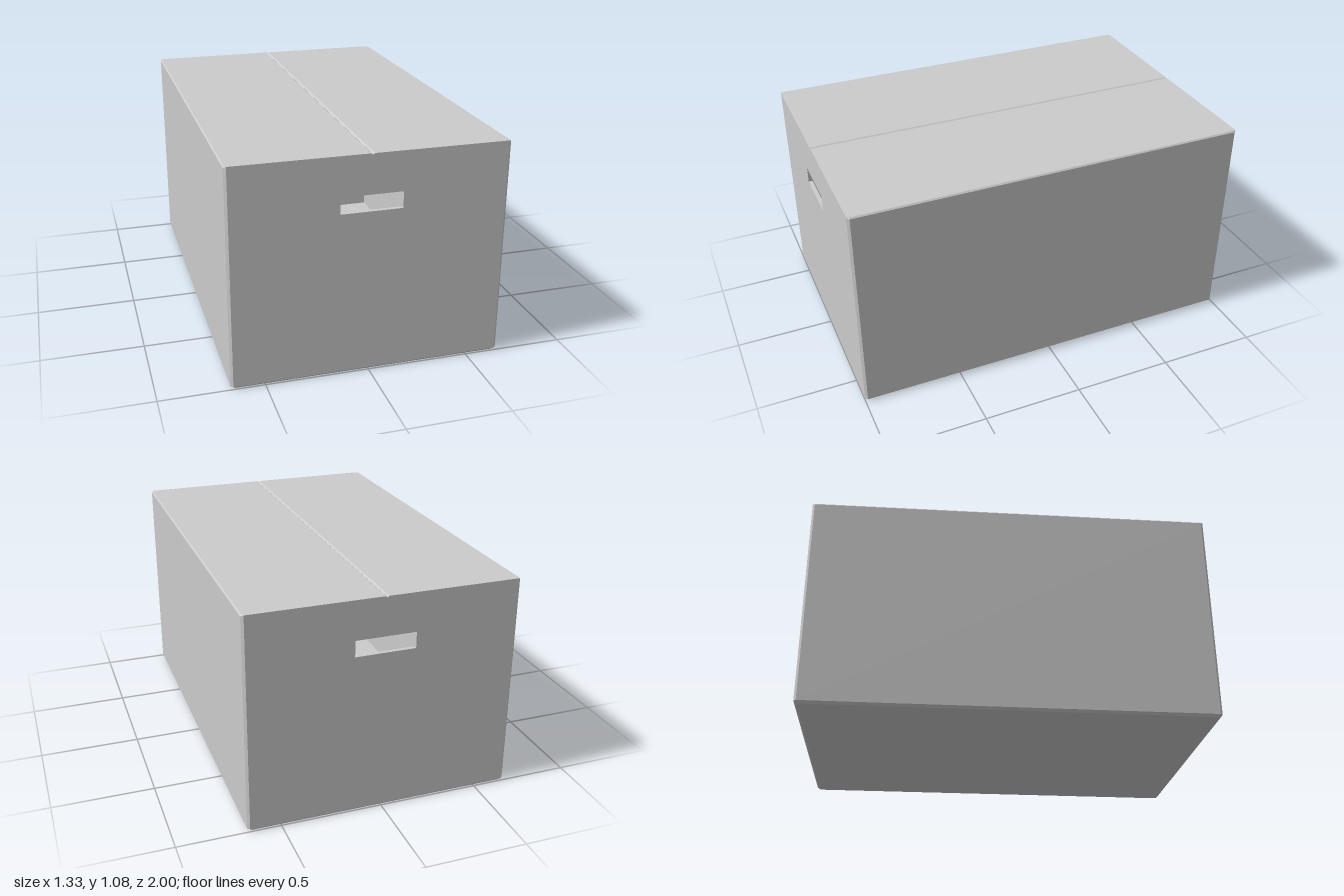
import * as THREE from 'three';

const X = 0.663, Z = 1, H = 1.083; // half width, half length, height
const C = 0.012;                   // edge chamfer
const FLAP_Y = 1.07;               // underside of the top flaps
const WALL = 0.02;

const material = new THREE.MeshStandardMaterial({ color: 0xcccccc, flatShading: true });

// Solid from stacked horizontal convex outlines: levels = [[y, [[x, z], ...]], ...],
// each outline counter-clockwise seen from above
function loft(levels) {
  const pos = [];
  const put = (i, j) => {
    const [y, ring] = levels[i];
    const [x, z] = ring[j % ring.length];
    pos.push(x, y, z);
  };
  const n = levels[0][1].length, top = levels.length - 1;
  for (let i = 0; i < top; i++) {
    for (let j = 0; j < n; j++) {
      put(i, j); put(i, j + 1); put(i + 1, j + 1);
      put(i, j); put(i + 1, j + 1); put(i + 1, j);
    }
  }
  for (let j = 1; j < n - 1; j++) {
    put(top, 0); put(top, j); put(top, j + 1);
    put(0, 0); put(0, j + 1); put(0, j);
  }
  const geometry = new THREE.BufferGeometry();
  geometry.setAttribute('position', new THREE.Float32BufferAttribute(pos, 3));
  geometry.computeVertexNormals();
  return geometry;
}

// Rectangle with all four corners cut
const octagon = (x, z) => [
  [x - C, z], [x, z - C], [x, -z + C], [x - C, -z],
  [-x + C, -z], [-x, -z + C], [-x, z - C], [-x + C, z],
];

// Half of the lid outline, from the centre seam to the outer edge
const flapOutline = (x0, x1) => [
  [x0, Z], [X - C, Z], [x1, Z - C], [x1, -Z + C], [X - C, -Z], [x0, -Z],
];

export function createModel() {
  const group = new THREE.Group();
  group.name = 'cardboardBox';
  const add = (name, geometry, turn = 0) => {
    const mesh = new THREE.Mesh(geometry, material);
    mesh.name = name;
    mesh.rotation.y = turn;
    group.add(mesh);
  };

  // Base with chamfered lower edges
  add('base', loft([[0, octagon(X - C, Z - C)], [C, octagon(X, Z)]]));

  // End wall with a rectangular hand hole
  const wall = new THREE.Shape([
    [-X + C, C], [X - C, C], [X - C, FLAP_Y], [-X + C, FLAP_Y],
  ].map(([x, y]) => new THREE.Vector2(x, y)));
  wall.holes.push(new THREE.Path([
    [-0.148, 0.81], [-0.148, 0.89], [0.148, 0.89], [0.148, 0.81],
  ].map(([x, y]) => new THREE.Vector2(x, y))));
  const endWall = new THREE.ExtrudeGeometry(wall, { depth: WALL, bevelEnabled: false });
  endWall.translate(0, 0, Z - WALL);

  // Side wall carrying the chamfered vertical corners
  const sideOutline = [[X - C, Z], [X, Z - C], [X, -Z + C], [X - C, -Z]];
  const sideWall = loft([[C, sideOutline], [FLAP_Y, sideOutline]]);

  // Top flap, bevelled along the seam and the outer edge
  const flap = loft([
    [FLAP_Y, flapOutline(0, X)],
    [H - 0.007, flapOutline(0, X)],
    [H, flapOutline(0.008, X - 0.006)],
  ]);

  add('frontWall', endWall);
  add('backWall', endWall, Math.PI);
  add('leftWall', sideWall);
  add('rightWall', sideWall, Math.PI);
  add('leftFlap', flap);
  add('rightFlap', flap, Math.PI);
  return group;
}
